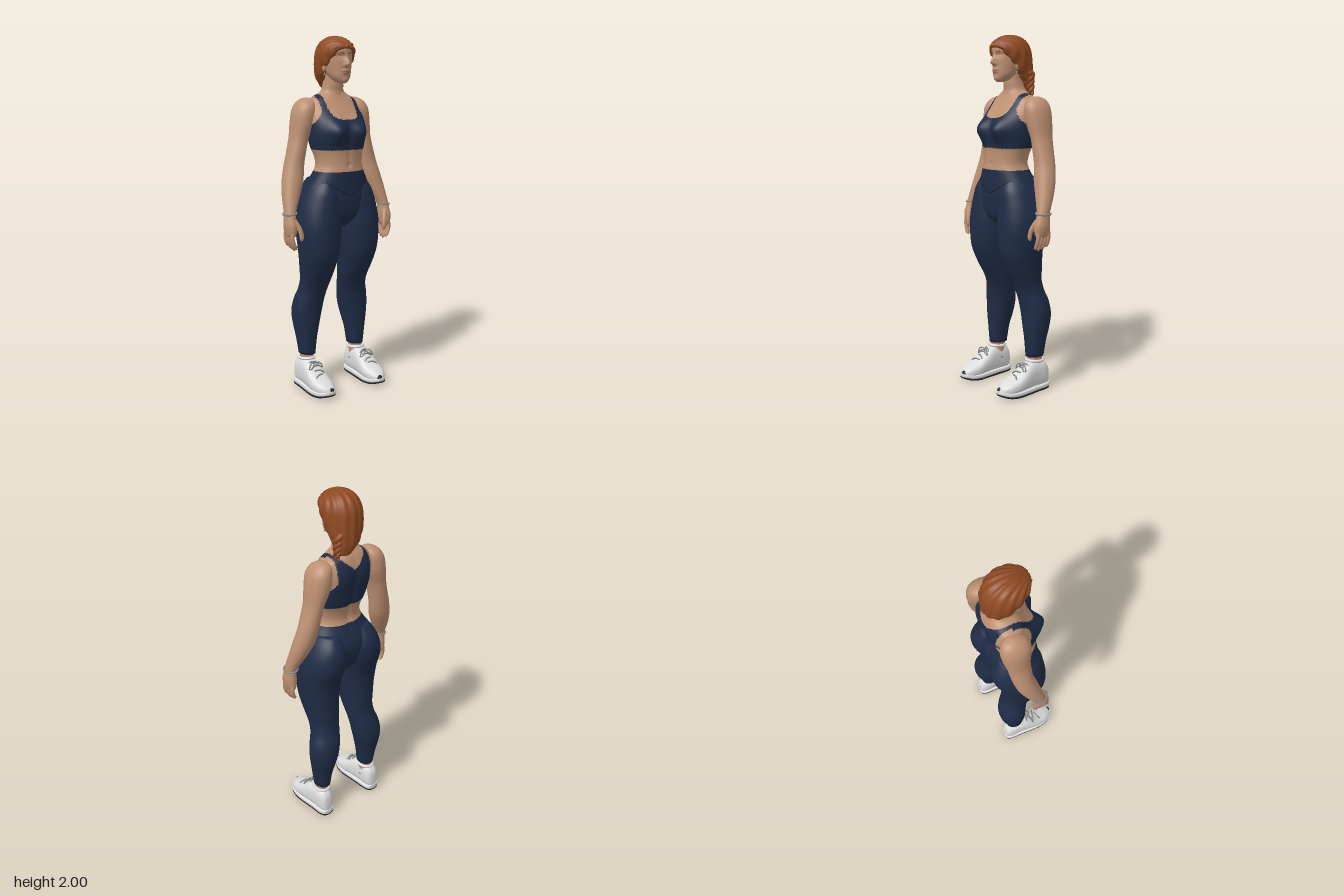
import * as THREE from 'three';

const mat = (name, color) => Object.assign(new THREE.MeshStandardMaterial({ color }), { name });
const skin = mat('skin', 0xbd9072), navy = mat('navy fabric', 0x1f2c46), hairMat = mat('auburn hair', 0x8f4a22);
const white = mat('shoe white', 0xdcdcdc), rubber = mat('dark rubber', 0x26262a), grey = mat('lace grey', 0x85888a);
const lipMat = mat('lips', 0xa8705c), seamMat = mat('dark seam', 0x131b2c);

// Sections are [height, xMin, xMax, zBack, zFront], joined by a smooth cubic.
function sectionAt(S, y) {
  let i = 0;
  while (i < S.length - 2 && y > S[i + 1][0]) i++;
  const h = S[i + 1][0] - S[i][0], t = (y - S[i][0]) / h;
  const slope = (n, k) => {
    const a = S[Math.max(n - 1, 0)], b = S[Math.min(n + 1, S.length - 1)];
    return (b[k] - a[k]) / (b[0] - a[0]);
  };
  return [1, 2, 3, 4].map(k => {
    const t2 = t * t, t3 = t2 * t;
    return (2 * t3 - 3 * t2 + 1) * S[i][k] + (t3 - 2 * t2 + t) * h * slope(i, k)
      + (3 * t2 - 2 * t3) * S[i + 1][k] + (t3 - t2) * h * slope(i + 1, k);
  });
}
const spow = (v, e) => Math.sign(v) * Math.abs(v) ** e;

// Closed loft of superellipse rings; deform moves points, rule picks a material per triangle.
function loft(S, { seg = 32, step = 5, e = 1, deform, rule } = {}) {
  const pos = [], tris = [], rows = (S.length - 1) * step, v = new THREE.Vector3();
  for (let r = 0; r <= rows; r++) {
    const i = Math.min(Math.floor(r / step), S.length - 2);
    const y = THREE.MathUtils.lerp(S[i][0], S[i + 1][0], r / step - i);
    const [x0, x1, z0, z1] = sectionAt(S, y);
    for (let j = 0; j < seg; j++) {
      const a = j / seg * Math.PI * 2;
      v.set((x0 + x1) / 2 + (x1 - x0) / 2 * spow(Math.sin(a), e), y, (z0 + z1) / 2 + (z1 - z0) / 2 * spow(Math.cos(a), e));
      if (deform) deform(v);
      pos.push(v.x, v.y, v.z);
    }
  }
  for (const r of [0, rows]) {
    v.set(0, 0, 0);
    for (let j = 0; j < seg; j++) v.add(new THREE.Vector3().fromArray(pos, (r * seg + j) * 3));
    v.divideScalar(seg);
    pos.push(v.x, v.y, v.z);
  }
  const low = (rows + 1) * seg;
  for (let j = 0; j < seg; j++) {
    const k = (j + 1) % seg;
    for (let r = 0; r < rows; r++) {
      const a = r * seg + j, b = r * seg + k;
      tris.push([a, b, b + seg], [a, b + seg, a + seg]);
    }
    tris.push([low, k, j], [low + 1, rows * seg + j, rows * seg + k]);
  }
  const g = new THREE.BufferGeometry();
  g.setAttribute('position', new THREE.Float32BufferAttribute(pos, 3));
  if (rule) {
    const buckets = [[], []];
    for (const t of tris) {
      const c = [0, 1, 2].map(k => (pos[t[0] * 3 + k] + pos[t[1] * 3 + k] + pos[t[2] * 3 + k]) / 3);
      buckets[rule(...c) ? 1 : 0].push(...t);
    }
    g.setIndex(buckets.flat());
    g.addGroup(0, buckets[0].length, 0);
    g.addGroup(buckets[0].length, buckets[1].length, 1);
  } else g.setIndex(tris.flat());
  g.computeVertexNormals();
  return g;
}

// Tube whose radius follows a function of t.
function taper(points, radius, n = 14, sides = 10) {
  const curve = new THREE.CatmullRomCurve3(points.map(p => new THREE.Vector3(...p)));
  const g = new THREE.TubeGeometry(curve, n, 1, sides), p = g.attributes.position, v = new THREE.Vector3();
  for (let i = 0; i < p.count; i++) {
    const t = Math.floor(i / (sides + 1)) / n, c = curve.getPointAt(t);
    v.fromBufferAttribute(p, i).sub(c).multiplyScalar(radius(t)).add(c);
    p.setXYZ(i, v.x, v.y, v.z);
  }
  g.computeVertexNormals();
  return g;
}
const digit = r => t => r * (1 - 0.25 * t) * Math.sqrt(Math.max(0, 1 - Math.max(0, (t - 0.8) / 0.2) ** 2));

function ball(x, y, z, rx, ry, rz) {
  return new THREE.SphereGeometry(1, 20, 14).scale(rx, ry, rz).translate(x, y, z);
}
function mirrored(geo) {
  const g = geo.clone().scale(-1, 1, 1), ix = g.index.array;
  for (let i = 0; i < ix.length; i += 3) [ix[i], ix[i + 1]] = [ix[i + 1], ix[i]];
  g.computeVertexNormals();
  return g;
}
const gauss = (dx, dy, sx, sy) => Math.exp(-((dx / sx) ** 2) - (dy / sy) ** 2);

const torsoS = [
  [0.95, -0.05, 0.05, -0.08, 0.05], [1.0, -0.19, 0.19, -0.13, 0.1], [1.1, -0.225, 0.225, -0.16, 0.118],
  [1.15, -0.21, 0.21, -0.16, 0.117], [1.2, -0.183, 0.183, -0.142, 0.116], [1.26, -0.15, 0.15, -0.115, 0.115],
  [1.3, -0.137, 0.137, -0.105, 0.11], [1.35, -0.143, 0.143, -0.115, 0.108], [1.4, -0.159, 0.159, -0.135, 0.108],
  [1.47, -0.172, 0.172, -0.152, 0.108], [1.53, -0.176, 0.176, -0.163, 0.092], [1.58, -0.175, 0.175, -0.166, 0.065],
  [1.62, -0.165, 0.165, -0.16, 0.038], [1.655, -0.145, 0.145, -0.148, 0.016], [1.68, -0.1, 0.1, -0.135, 0.003],
  [1.7, -0.068, 0.068, -0.12, -0.003], [1.74, -0.056, 0.056, -0.11, 0], [1.8, -0.054, 0.054, -0.105, 0]];
const legS = [
  [0.2, 0.125, 0.215, -0.13, -0.02], [0.3, 0.11, 0.23, -0.145, -0.015], [0.38, 0.09, 0.243, -0.165, -0.01],
  [0.45, 0.072, 0.25, -0.172, -0.008], [0.52, 0.06, 0.24, -0.163, 0], [0.58, 0.05, 0.222, -0.143, 0.014],
  [0.64, 0.04, 0.217, -0.13, 0.042], [0.7, 0.034, 0.225, -0.13, 0.077], [0.8, 0.022, 0.24, -0.13, 0.12],
  [0.9, 0.01, 0.252, -0.14, 0.13], [0.97, 0.002, 0.255, -0.16, 0.13], [1.03, -0.002, 0.25, -0.18, 0.125],
  [1.1, 0, 0.232, -0.187, 0.118], [1.16, 0.02, 0.205, -0.17, 0.108], [1.22, 0.04, 0.165, -0.13, 0.08]];
const armS = [
  [0.915, 0.312, 0.338, -0.02, 0.035], [0.93, 0.298, 0.347, -0.038, 0.052], [0.98, 0.29, 0.355, -0.042, 0.055],
  [1.02, 0.291, 0.352, -0.04, 0.042], [1.05, 0.287, 0.35, -0.042, 0.034], [1.14, 0.242, 0.341, -0.085, 0.015],
  [1.22, 0.207, 0.326, -0.115, 0], [1.3, 0.192, 0.304, -0.13, -0.015], [1.38, 0.177, 0.28, -0.138, -0.016],
  [1.45, 0.16, 0.262, -0.145, -0.014], [1.53, 0.125, 0.252, -0.158, 0], [1.6, 0.115, 0.239, -0.158, 0.003],
  [1.64, 0.118, 0.216, -0.145, -0.015], [1.66, 0.13, 0.19, -0.12, -0.045], [1.667, 0.15, 0.17, -0.09, -0.07]];
const headS = [
  [1.745, -0.018, 0.018, 0.02, 0.058], [1.755, -0.034, 0.034, -0.01, 0.069], [1.78, -0.055, 0.055, -0.05, 0.076],
  [1.81, -0.068, 0.068, -0.09, 0.077], [1.85, -0.077, 0.077, -0.11, 0.078], [1.89, -0.08, 0.08, -0.12, 0.08],
  [1.93, -0.08, 0.08, -0.12, 0.081], [1.96, -0.07, 0.07, -0.11, 0.062], [1.985, -0.04, 0.04, -0.08, 0.02]];
const hairS = [
  [1.69, 0, 0.075, -0.145, -0.075], [1.74, -0.055, 0.09, -0.158, -0.04], [1.78, -0.085, 0.098, -0.16, 0],
  [1.83, -0.1, 0.103, -0.16, 0.04], [1.88, -0.106, 0.106, -0.157, 0.075], [1.92, -0.103, 0.103, -0.15, 0.092],
  [1.955, -0.088, 0.088, -0.132, 0.08], [1.98, -0.063, 0.063, -0.105, 0.045], [1.994, -0.035, 0.035, -0.072, 0.01],
  [1.999, -0.008, 0.008, -0.04, -0.024]];
const shoeS = [
  [-0.155, 0.165, 0.195, 0.03, 0.09], [-0.148, 0.148, 0.212, 0.02, 0.135], [-0.12, 0.135, 0.225, 0.015, 0.168],
  [-0.06, 0.13, 0.23, 0.015, 0.18], [-0.01, 0.125, 0.236, 0.015, 0.172], [0.04, 0.12, 0.242, 0.015, 0.138],
  [0.09, 0.117, 0.243, 0.015, 0.105], [0.14, 0.127, 0.232, 0.015, 0.085], [0.175, 0.145, 0.208, 0.018, 0.066],
  [0.188, 0.163, 0.187, 0.03, 0.05]];

// Sports top outline: scooped front, racer back.
function inTop(x, y, z) {
  const ax = Math.abs(x);
  if (y < 1.385) return false;
  if (z > -0.06) {
    const scoop = y > 1.55 && (ax / 0.093) ** 4 + (Math.max(0, 1.68 - y) / 0.13) ** 4 < 1;
    return !scoop && y < 1.69 && ax < 0.122 + 0.65 * Math.max(0, 1.6 - y);
  }
  return y < Math.min(1.685, 1.6 + 0.9 * ax) && ax < 0.108 + 0.75 * Math.max(0, 1.54 - y);
}
// Bust, navel, spine and shoulder blades
function shapeTorso(v) {
  const ax = Math.abs(v.x);
  if (v.z > 0) {
    v.z += 0.048 * gauss(ax - 0.078, v.y - 1.49, 0.055, 0.062);
    v.z -= 0.008 * gauss(v.x, v.y - 1.3, 0.01, 0.012) + 0.005 * gauss(v.x, v.y - 1.35, 0.012, 0.05);
  } else if (v.y > 1.2) {
    v.z += 0.012 * gauss(v.x, v.y - 1.42, 0.02, 0.2);
    v.z -= 0.008 * gauss(ax - 0.08, v.y - 1.56, 0.05, 0.07);
  }
}
// Nose, eye sockets, eyelids, lips and chin
function shapeFace(v) {
  if (v.z < 0) return;
  const ax = Math.abs(v.x), up = v.y - 1.848;
  v.z += 0.03 * gauss(v.x, up, 0.012, up > 0 ? 0.032 : 0.012);
  v.z += 0.006 * gauss(ax - 0.011, v.y - 1.843, 0.007, 0.008);
  v.z -= 0.011 * gauss(ax - 0.03, v.y - 1.887, 0.017, 0.012);
  v.z += 0.006 * gauss(ax - 0.031, v.y - 1.884, 0.011, 0.006);
  v.z += 0.008 * gauss(v.x, v.y - 1.812, 0.022, 0.007) + 0.008 * gauss(v.x, v.y - 1.799, 0.019, 0.006);
  v.z += 0.005 * gauss(v.x, v.y - 1.762, 0.02, 0.012);
}
// Combed ridges fanning back from the brow, cut off at the hairline
function shapeHair(v) {
  const fan = Math.atan2(v.x, 0.11 - v.z), ridge = 0.0025 * Math.sin(fan * 34 + 6 * (v.y - 1.8));
  const d = new THREE.Vector3(v.x, v.y - 1.86, v.z + 0.035).normalize();
  v.addScaledVector(d, v.y > 1.72 ? ridge : 0);
  v.z = Math.min(v.z, 0.86 * (v.y - 1.82) - 0.015 + 0.004 * Math.sin(v.y * 150));
}

export function createModel() {
  const root = new THREE.Group();
  root.name = 'standingWoman';
  const add = (name, geo, m) => {
    const mesh = new THREE.Mesh(geo, m);
    mesh.name = name;
    root.add(mesh);
  };
  const pair = (name, geo, m) => {
    add('left' + name, geo, m);
    add('right' + name, mirrored(geo), m);
  };

  // Body and clothing
  add('torso', loft(torsoS, { seg: 112, step: 8, e: 0.92, deform: shapeTorso, rule: (x, y, z) => y < 1.265 || inTop(x, y, z) }), [skin, navy]);
  pair('Leg', loft(legS, { seg: 48, e: 0.95 }), navy);
  pair('Ankle', loft([[0.1, 0.13, 0.215, -0.125, -0.02], [0.17, 0.137, 0.208, -0.12, -0.025], [0.215, 0.135, 0.208, -0.122, -0.028]], { seg: 24 }), skin);
  const frontZ = (S, x, y) => {
    const [x0, x1, z0, z1] = sectionAt(S, y), d = Math.abs((2 * x - x0 - x1) / (x1 - x0));
    return (z0 + z1) / 2 + (z1 - z0) / 2 * Math.sqrt(Math.max(0, 1 - d * d));
  };
  const seam = [];
  for (let i = -8; i <= 8; i++) {
    const x = i * 0.0185, y = 1.135 + 0.085 * Math.abs(i / 8) ** 1.3;
    seam.push([x, y, Math.max(frontZ(torsoS, x, y), frontZ(legS, Math.abs(x), Math.min(y, 1.22))) + 0.002]);
  }
  add('waistbandSeam', taper(seam, () => 0.0025, 48, 6), seamMat);

  // Arms and hands
  pair('Arm', loft(armS, { seg: 36, e: 0.95 }), skin);
  [[-0.031, 0.865], [-0.008, 0.845], [0.016, 0.838], [0.04, 0.85]].forEach(([z, tip], i) =>
    pair('Finger' + (i + 1), taper([[0.324, 0.965, z], [0.331, 0.91, z + 0.002], [0.318, 0.87, z + 0.004], [0.303, tip, z + 0.004]], digit(0.0135)), skin));
  pair('Thumb', taper([[0.312, 1.01, 0.03], [0.292, 0.965, 0.052], [0.283, 0.925, 0.06], [0.284, 0.895, 0.058]], digit(0.015)), skin);
  pair('Bracelet', new THREE.TorusGeometry(0.04, 0.005, 8, 32).rotateX(Math.PI / 2).scale(0.9, 1, 1.08).rotateZ(-0.1).translate(0.319, 1.045, -0.003), grey);

  // Head
  add('head', loft(headS, { seg: 120, step: 10, deform: shapeFace,
    rule: (x, y, z) => z > 0.06 && (x / 0.023) ** 2 + ((y - 1.805) / 0.011) ** 2 < 1 }), [skin, lipMat]);
  pair('Ear', ball(0.082, 1.835, -0.018, 0.01, 0.028, 0.017).rotateY(0), skin);
  pair('Earring', ball(0.083, 1.795, -0.012, 0.006, 0.009, 0.006), grey);
  pair('Brow', taper([[0.014, 1.904, 0.079], [0.032, 1.91, 0.074], [0.05, 1.904, 0.063]], t => 0.003 * (1 - 0.6 * t), 10, 6), hairMat);

  // Hair with a braid over the left shoulder
  add('hair', loft(hairS, { seg: 180, step: 6, deform: shapeHair }), hairMat);
  for (let s = 0; s < 3; s++) {
    const pts = [];
    for (let i = 0; i <= 18; i++) {
      const t = i / 18, a = t * 9 + s * Math.PI * 2 / 3, r = 0.016 * (1 - 0.5 * t);
      pts.push([0.07 + 0.016 * t + r * Math.cos(a), 1.8 - 0.135 * t, -0.105 - 0.005 * t + r * 1.2 * Math.sin(a)]);
    }
    add('braidStrand' + (s + 1), taper(pts, t => 0.019 * (1 - 0.5 * t) * Math.sqrt(Math.max(0, 1 - t ** 8)), 48, 10), hairMat);
  }

  // Shoes: lofts run heel to toe, then turn to lie along z
  const along = (bottom, top, grow, e) => loft(shoeS.map(([z, x0, x1, lo, hi]) =>
    [z * (1 + grow), x0 - grow * 0.15, x1 + grow * 0.15, -top(z, hi), -bottom(z, lo)]), { seg: 40, e }).rotateX(Math.PI / 2);
  const curl = z => 0.02 * Math.max(0, (z - 0.1) / 0.09) ** 2;
  pair('ShoeUpper', along((z, lo) => lo, (z, hi) => hi, 0, 0.8), white);
  pair('Midsole', along(z => 0.008 + curl(z), z => 0.038 + 0.5 * curl(z), 0.02, 0.5), white);
  pair('Outsole', along(curl, z => 0.014 + curl(z), 0.015, 0.4), rubber);
  pair('ToeGuard', ball(0.17, 0.047, 0.177, 0.018, 0.016, 0.013), rubber);
  pair('Collar', new THREE.TorusGeometry(0.044, 0.009, 10, 32).rotateX(Math.PI / 2).scale(0.95, 1, 1.15).rotateX(-0.1).translate(0.175, 0.175, -0.072), white);
  for (let i = 0; i < 4; i++) {
    const z = 0.005 + i * 0.025, y = sectionAt(shoeS, z)[3], d = i % 2 ? 0.012 : -0.012;
    pair('Lace' + (i + 1), taper([[0.145, y - 0.012, z - d], [0.165, y + 0.002, z - d / 3], [0.195, y + 0.002, z + d / 3], [0.215, y - 0.012, z + d]], () => 0.0045, 12, 6), grey);
  }
  for (const s of [-1, 1])
    pair(s < 0 ? 'InnerBow' : 'OuterBow', taper([[0.18, 0.165, 0.015], [0.18 + s * 0.03, 0.165, 0.03], [0.18 + s * 0.045, 0.135, 0.035], [0.18 + s * 0.025, 0.148, 0.04], [0.18, 0.162, 0.018]], () => 0.0035, 20, 6), grey);
  return root;
}
